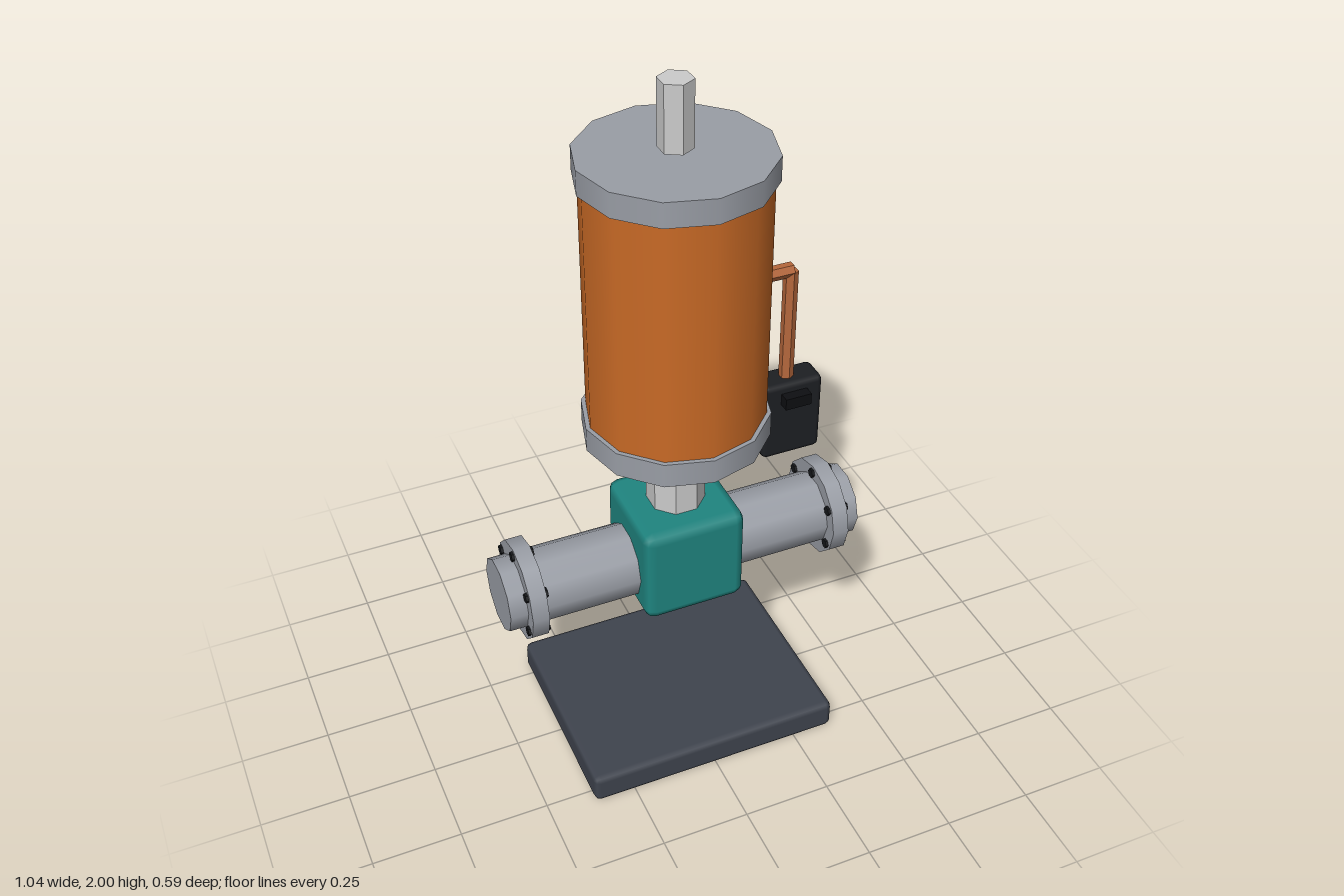
import * as THREE from 'three';
import { RoundedBoxGeometry } from 'three/addons/geometries/RoundedBoxGeometry.js';

const mat = (color, flatShading = false) => new THREE.MeshStandardMaterial({ color, flatShading });

export function createModel() {
  const model = new THREE.Group();
  const casting = mat(0x9a9ea6);
  const steel = mat(0xcccccc, true);
  const copper = mat(0xb5673c, true);
  const black = mat(0x1d1f23);
  const boltBlack = mat(0x15171a, true);

  const add = (name, geometry, material, x = 0, y = 0, z = 0, parent = model) => {
    const mesh = new THREE.Mesh(geometry, material);
    mesh.name = name;
    mesh.position.set(x, y, z);
    parent.add(mesh);
    return mesh;
  };
  const cyl = (r, h, sides, start = 0) =>
    new THREE.CylinderGeometry(r, r, h, sides, 1, false, start);
  const alongX = (r, h, sides) => cyl(r, h, sides).rotateZ(Math.PI / 2);

  // Base plate
  add('basePlate', new RoundedBoxGeometry(0.74, 0.09, 0.594, 1, 0.018), mat(0x3f444e), 0, 0.045, 0);

  // Valve body with the pipe running through it
  const axisY = 0.597;
  add('valveBody', new RoundedBoxGeometry(0.294, 0.294, 0.294, 1, 0.03), mat(0x1f8580), 0, 0.625, 0);
  add('pipe', alongX(0.104, 1.036, 10), casting, 0, axisY, 0);

  // Flanges, each with a ring of six bolts
  for (const side of [-1, 1]) {
    const flange = new THREE.Group();
    flange.name = side > 0 ? 'leftFlange' : 'rightFlange';
    flange.position.set(side * 0.445, axisY, 0);
    model.add(flange);
    add('flangeDisc', alongX(0.141, 0.047, 12), casting, 0, 0, 0, flange);
    for (let i = 0; i < 6; i++) {
      const a = Math.PI / 2 + (i * Math.PI) / 3;
      add('flangeBolt', alongX(0.014, 0.062, 6), boltBlack,
        0, 0.12 * Math.sin(a), 0.12 * Math.cos(a), flange);
    }
  }

  // Stem and actuator cylinder
  add('stem', cyl(0.08, 0.26, 8, Math.PI / 8), steel, 0, 0.885, 0);
  add('lowerCap', cyl(0.25, 0.07, 12), casting, 0, 1.04, 0);
  add('actuatorBarrel', cyl(0.238, 0.69, 12), mat(0xc96a26), 0, 1.412, 0);
  add('upperCap', cyl(0.25, 0.067, 12), casting, 0, 1.784, 0);
  add('topRod', cyl(0.045, 0.175, 6), steel, 0, 1.9125, 0);

  // Air line from the barrel down to the control box
  add('airLineHorizontal', alongX(0.02, 0.11, 6), copper, 0.268, 1.413, 0);
  add('airLineVertical', cyl(0.02, 0.35, 6), copper, 0.32, 1.235, 0);

  // Control box with its front switch
  add('controlBox', new RoundedBoxGeometry(0.172, 0.235, 0.086, 1, 0.015), black, 0.325, 0.967, 0);
  add('controlSwitch', new THREE.BoxGeometry(0.075, 0.034, 0.04), mat(0x0e0f12), 0.325, 1.041, 0.052);

  return model;
}
